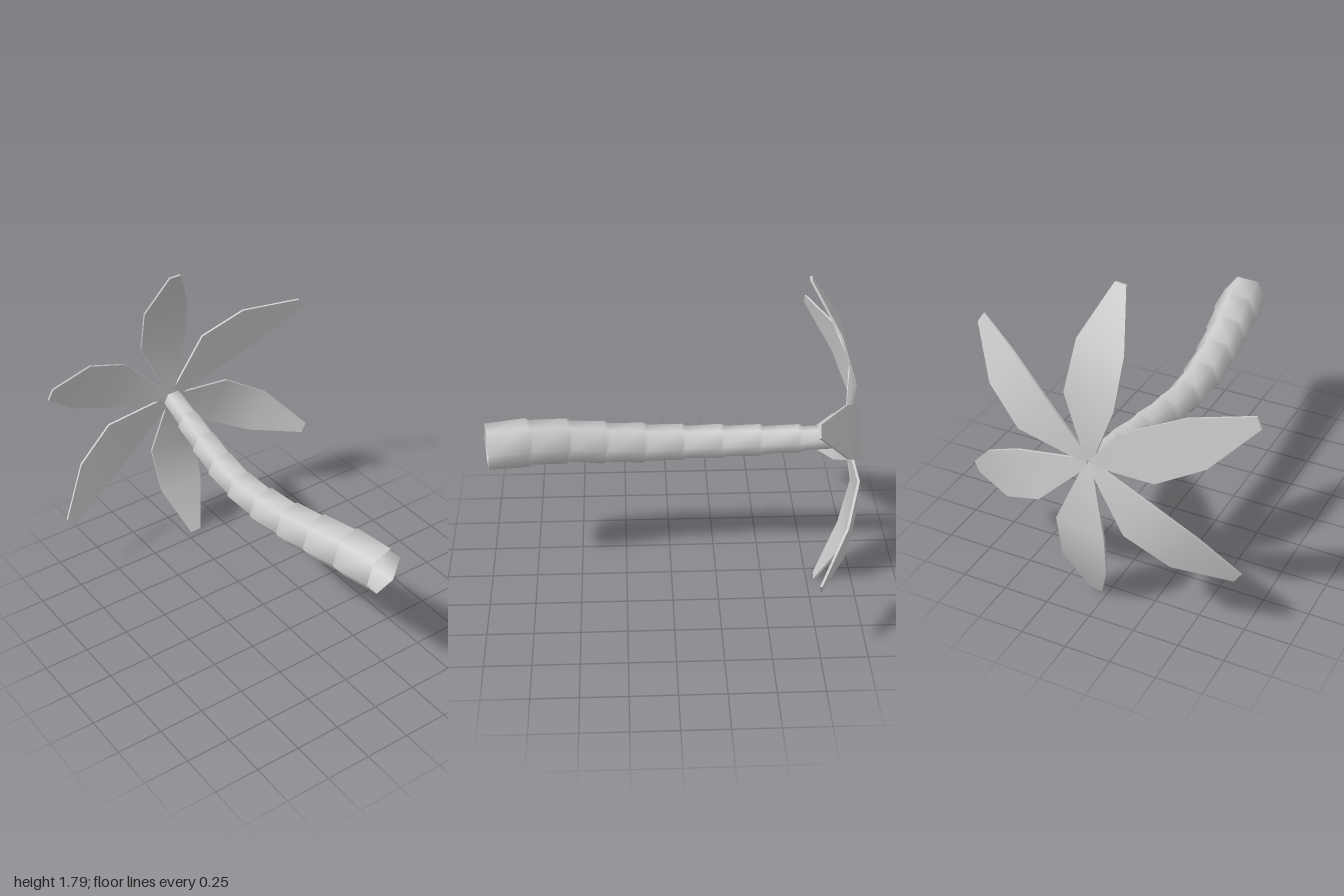
import * as THREE from 'three';

const material = new THREE.MeshStandardMaterial({ color: 0xcccccc, side: THREE.DoubleSide });

// Joint centres (x, y, z) and radius, from the open base to the crown
const joints = [
  [0.02, 0.89, 0.975, 0.123], [-0.015, 0.888, 0.765, 0.13], [-0.05, 0.87, 0.56, 0.121],
  [-0.072, 0.842, 0.36, 0.114], [-0.087, 0.826, 0.15, 0.108], [-0.09, 0.823, -0.06, 0.098],
  [-0.073, 0.835, -0.27, 0.093], [-0.045, 0.855, -0.475, 0.085], [-0.015, 0.88, -0.68, 0.076],
  [0.018, 0.908, -0.9, 0.062],
];

// Six-sided bent trunk; every segment flares a little, then steps in
function trunkGeometry() {
  const sides = 6, turn = 0.14;
  const curve = new THREE.CatmullRomCurve3(joints.map(j => new THREE.Vector3(j[0], j[1], j[2])));
  const last = joints.length - 1, positions = [], index = [];
  const right = new THREE.Vector3(), up = new THREE.Vector3();
  let rings = 0;
  const addRing = (t, radius) => {
    const centre = curve.getPoint(t), tangent = curve.getTangent(t).negate();
    right.crossVectors(new THREE.Vector3(0, 1, 0), tangent).normalize();
    up.crossVectors(tangent, right);
    for (let i = 0; i < sides; i++) {
      const a = turn + i * Math.PI * 2 / sides;
      const p = centre.clone().addScaledVector(right, radius * Math.cos(a)).addScaledVector(up, radius * Math.sin(a));
      positions.push(p.x, p.y, p.z);
    }
    rings++;
  };
  joints.forEach((j, k) => {
    addRing(k / last, j[3]);
    if (k > 0 && k < last) addRing((k + 0.1) / last, j[3] - 0.011);
  });
  for (let r = 0; r < rings - 1; r++) {
    for (let i = 0; i < sides; i++) {
      const n = (i + 1) % sides;
      const a = r * sides + i, b = r * sides + n, c = a + sides, d = b + sides;
      index.push(a, d, b, a, c, d);
    }
  }
  const geometry = new THREE.BufferGeometry();
  geometry.setAttribute('position', new THREE.Float32BufferAttribute(positions, 3));
  geometry.setIndex(index);
  geometry.computeVertexNormals();
  return geometry;
}

// Thin drooping leaf: a box whose cross-sections follow [reach, height, half width]
function leafGeometry() {
  const sections = [[0.01, 0, 0.02], [0.365, 0.04, 0.139], [0.63, -0.03, 0.131], [0.898, -0.173, 0.032]];
  const thickness = 0.013;
  const geometry = new THREE.BoxGeometry(1, 1, 1, 3, 1, 1);
  const p = geometry.attributes.position;
  for (let i = 0; i < p.count; i++) {
    const [reach, height, half] = sections[Math.round((p.getX(i) + 0.5) * 3)];
    p.setXYZ(i, reach, height + (p.getY(i) - 0.5) * thickness, p.getZ(i) * 2 * half);
  }
  geometry.computeVertexNormals();
  return geometry;
}

export function createModel() {
  const model = new THREE.Group();
  model.name = 'palmTree';

  const trunk = new THREE.Mesh(trunkGeometry(), material);
  trunk.name = 'trunk';
  model.add(trunk);

  // Crown of six leaves around the slightly tilted trunk end
  const crown = new THREE.Group();
  crown.name = 'crown';
  crown.position.set(0.012, 0.917, -0.93);
  const axis = new THREE.Vector3(0.07, 0.058, -1).normalize();
  crown.quaternion.setFromUnitVectors(new THREE.Vector3(0, 1, 0), axis);
  const leaf = leafGeometry();
  for (let i = 0; i < 6; i++) {
    const mesh = new THREE.Mesh(leaf, material);
    mesh.name = `leaf${i + 1}`;
    mesh.rotation.y = -THREE.MathUtils.degToRad(98 + i * 60);
    crown.add(mesh);
  }
  model.add(crown);
  return model;
}
